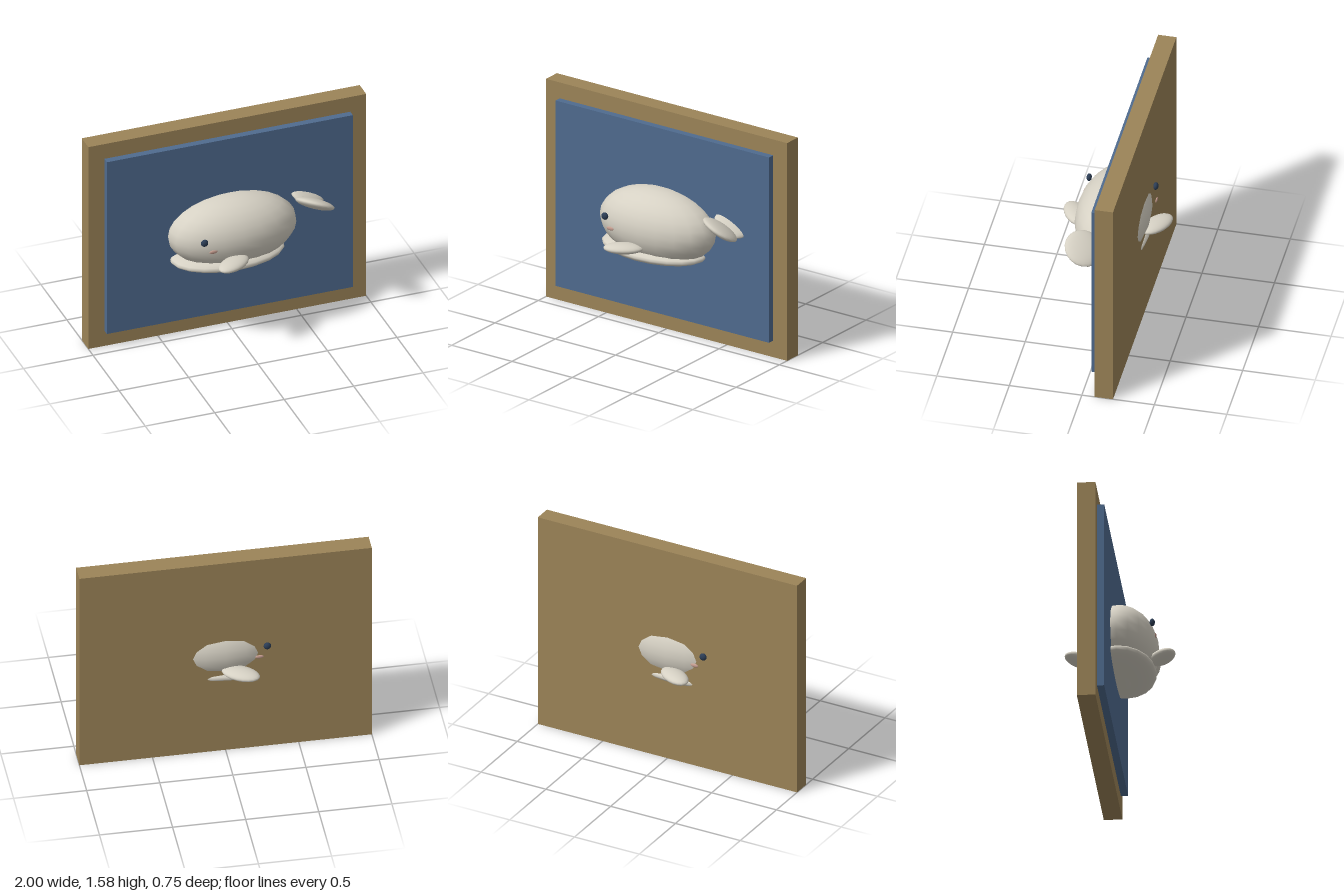
import * as THREE from 'three';

const material = (color) => new THREE.MeshStandardMaterial({ color });

export function createModel() {
  const model = new THREE.Group();
  const wood = material(0x9c8458);
  const blue = material(0x4f6b8f);
  const cream = material(0xd6d1c4);
  const dark = material(0x2c3d55);
  const pink = material(0xc9a092);

  function add(name, geometry, mat, position, rotation = [0, 0, 0]) {
    const mesh = new THREE.Mesh(geometry, mat);
    mesh.name = name;
    mesh.position.set(...position);
    mesh.rotation.set(...rotation);
    model.add(mesh);
    return mesh;
  }

  function ellipsoid(name, radii, mat, position, rotation, segments = 20, rings = 14) {
    const geometry = new THREE.SphereGeometry(1, segments, rings);
    geometry.scale(...radii);
    return add(name, geometry, mat, position, rotation);
  }

  // Backing board and raised panel
  add('backBoard', new THREE.BoxGeometry(2, 1.58, 0.126), wood, [0, 0.79, -0.152]);
  add('bluePanel', new THREE.BoxGeometry(1.77, 1.345, 0.05), blue, [0, 0.7925, -0.065]);

  // Whale body and belly, passing through the board
  ellipsoid('body', [0.457, 0.255, 0.25], cream, [0, 0.795, 0]);
  ellipsoid('belly', [0.405, 0.066, 0.237], cream, [-0.035, 0.611, 0]);

  // Paired parts, mirrored front to back
  for (const [label, s] of [['front', 1], ['back', -1]]) {
    ellipsoid(label + 'Fin', [0.136, 0.035, 0.075], cream, [-0.093, 0.683, s * 0.28], [0, s * 0.54, 0]);
    ellipsoid(label + 'Fluke', [0.136, 0.036, 0.134], cream, [0.566, 0.906, s * 0.082], [-s * 0.42, 0, -0.4]);
    ellipsoid(label + 'Eye', [0.026, 0.026, 0.018], dark, [-0.283, 0.855, s * 0.23], undefined, 12, 10);
    ellipsoid(label + 'Mouth', [0.03, 0.013, 0.006], pink, [-0.226, 0.784, s * 0.248], undefined, 12, 8);
  }

  return model;
}
